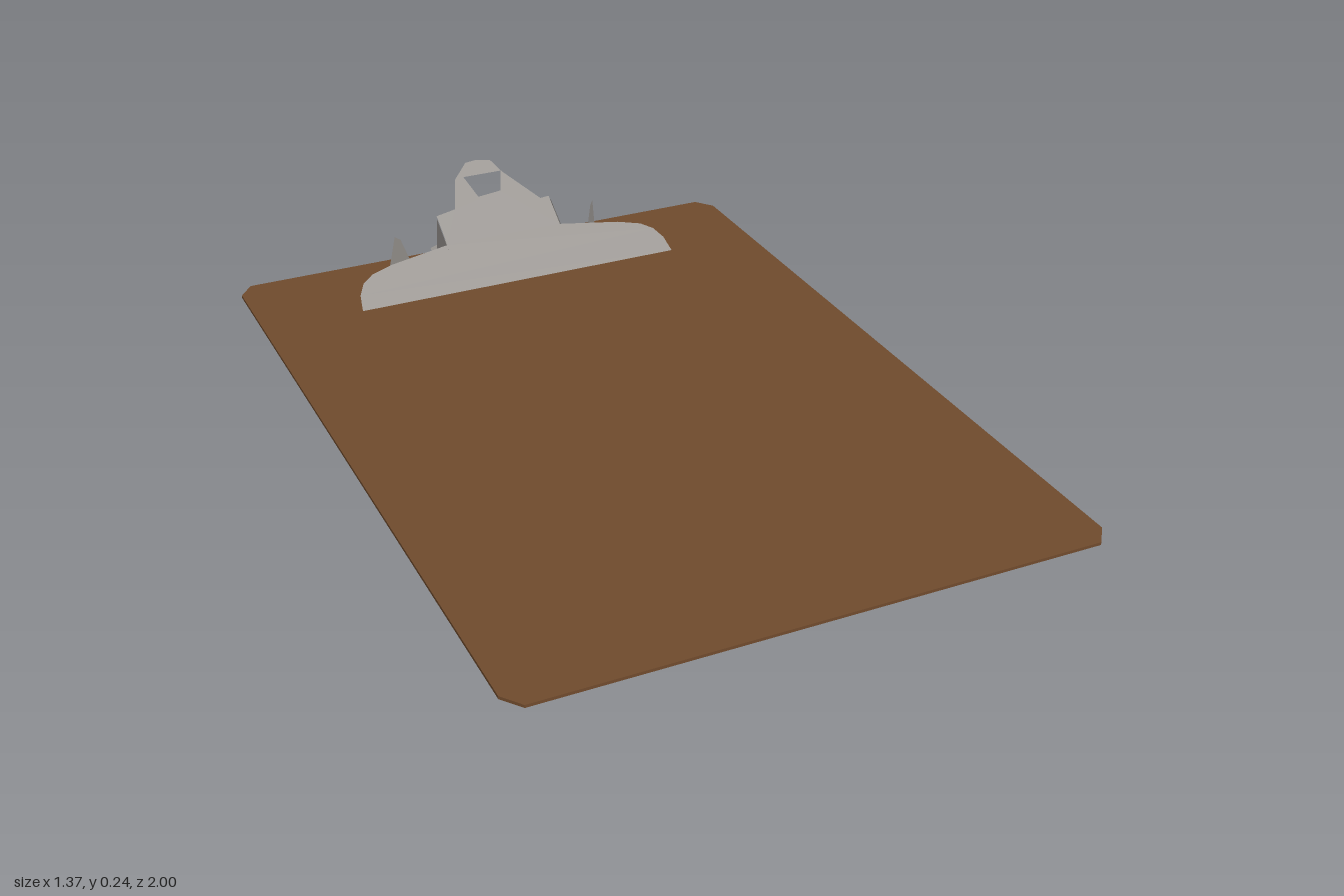
import * as THREE from 'three';

const boardMaterial = new THREE.MeshStandardMaterial({ color: 0x704b2d });
boardMaterial.name = 'brown hardboard';
const metalMaterial = new THREE.MeshStandardMaterial({ color: 0x989490, side: THREE.DoubleSide });
metalMaterial.name = 'grey sheet metal';

const toShape = (pts) => new THREE.Shape(pts.map(([x, y]) => new THREE.Vector2(x, y)));

// Thin sheet: a flat outline whose points are placed in space by a rule
function sheet(name, outline, place, hole) {
  const shape = toShape(outline);
  if (hole) shape.holes.push(toShape(hole));
  const geo = new THREE.ShapeGeometry(shape);
  const p = geo.attributes.position;
  for (let i = 0; i < p.count; i++) p.setXYZ(i, ...place(p.getX(i), p.getY(i)));
  geo.computeVertexNormals();
  // Keep the front of upward-facing sheets on top
  if (geo.attributes.normal.getY(0) < -0.1) {
    const idx = geo.index;
    for (let i = 0; i < idx.count; i += 3) {
      const a = idx.getX(i);
      idx.setX(i, idx.getX(i + 1));
      idx.setX(i + 1, a);
    }
    geo.computeVertexNormals();
  }
  const mesh = new THREE.Mesh(geo, metalMaterial);
  mesh.name = name;
  return mesh;
}

export function createModel() {
  const model = new THREE.Group();
  model.name = 'clipboard';

  // Board with clipped corners
  const w = 0.685, back = -0.91, front = 1, c = 0.035, d = 0.045;
  const boardShape = toShape([
    [-w + c, -front], [w - c, -front], [w, -front + d], [w, -back - d],
    [w - c, -back], [-w + c, -back], [-w, -back - d], [-w, -front + d],
  ]);
  const boardGeo = new THREE.ExtrudeGeometry(boardShape, { depth: 0.007, bevelEnabled: false });
  boardGeo.rotateX(-Math.PI / 2).translate(0, 0.002, 0);
  const board = new THREE.Mesh(boardGeo, boardMaterial);
  board.name = 'board';
  model.add(board);

  const clip = new THREE.Group();
  clip.name = 'clip';
  model.add(clip);

  // Sloping jaw with thumb grip and hanging hole
  const jaw = [
    [-0.435, 0.025], [0.435, 0.025], [0.428, 0.05], [0.41, 0.068], [0.38, 0.08], [0.32, 0.09],
    [0.16, 0.105], [0.16, 0.156], [0.135, 0.155], [0.06, 0.212], [0.04, 0.235], [0, 0.24],
    [-0.03, 0.238], [-0.075, 0.212], [-0.105, 0.162], [-0.16, 0.156], [-0.16, 0.105],
    [-0.32, 0.09], [-0.38, 0.08], [-0.41, 0.068], [-0.428, 0.05],
  ];
  const gripHole = [[-0.03, 0.176], [0.035, 0.18], [0.057, 0.214], [-0.05, 0.214]];
  const onSlope = (x, y) => [x, y, -0.62 - (y - 0.025) * 1.5];
  clip.add(sheet('jaw', jaw, onSlope, gripHole));

  // Base plate with side tabs and a pointed rear tongue (outline in x, z)
  const base = [
    [-0.305, -0.755], [-0.16, -0.755], [0.16, -0.755], [0.31, -0.755], [0.31, -0.825],
    [0.17, -0.835], [0.14, -0.91], [0.05, -0.94], [0, -0.915], [-0.05, -0.91],
    [-0.04, -1], [-0.11, -0.93], [-0.15, -0.91], [-0.165, -0.84], [-0.26, -0.845], [-0.305, -0.82],
  ];
  clip.add(sheet('basePlate', base, (x, z) => [x, 0.021, z]));

  // Fixing pad between base plate and board
  const pad = new THREE.Mesh(new THREE.BoxGeometry(0.2, 0.011, 0.08), metalMaterial);
  pad.name = 'fixingPad';
  pad.position.set(0, 0.0145, -0.865);
  clip.add(pad);

  // Backing plate under the board
  const backing = [
    [-0.29, -0.77], [-0.16, -0.76], [0.16, -0.76], [0.31, -0.765], [0.31, -0.82],
    [0.17, -0.835], [0.14, -0.9], [-0.14, -0.9], [-0.165, -0.84], [-0.29, -0.835],
  ];
  const backingHole = [[0.09, -0.81], [0.15, -0.81], [0.13, -0.845], [0.09, -0.845]];
  clip.add(sheet('backingPlate', backing, (x, z) => [x, 0, z], backingHole));

  // Upright cheeks and spring tips on both sides
  const cheek = [[-0.72, 0.092], [-0.745, 0.021], [-0.825, 0.021], [-0.807, 0.15]];
  const tip = [[-0.755, 0.021], [-0.82, 0.021], [-0.803, 0.125], [-0.79, 0.12]];
  for (const [side, label] of [[1, 'left'], [-1, 'right']]) {
    clip.add(sheet(label + 'Cheek', cheek, (z, y) => [side * 0.162, y, z]));
    clip.add(sheet(label + 'SpringTip', tip, (z, y) => [side * (0.3 + (z + 0.8) * -0.9 - 0.02), y, z]));
  }
  return model;
}
